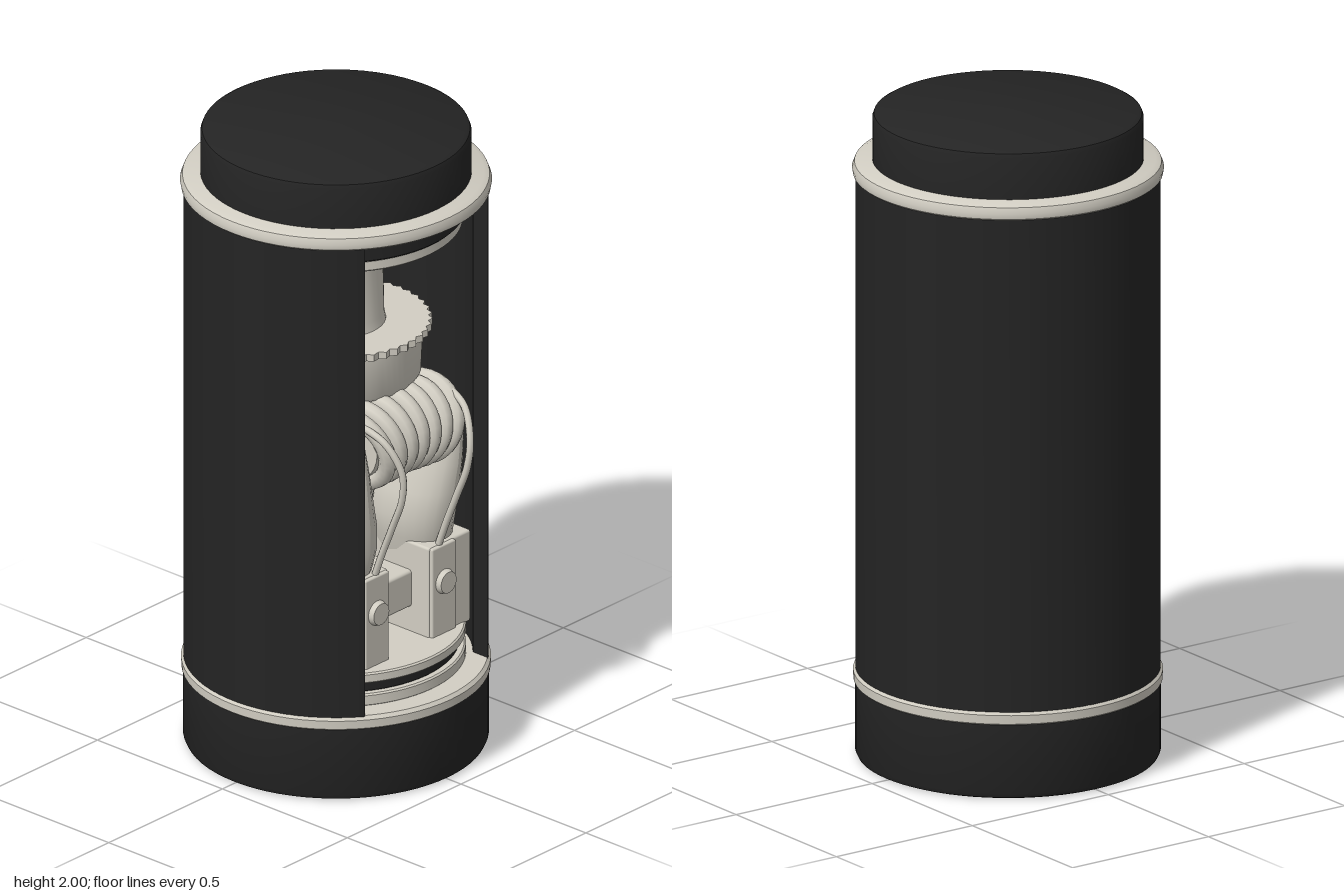
import * as THREE from 'three';
import { toCreasedNormals } from 'three/addons/utils/BufferGeometryUtils.js';
import { RoundedBoxGeometry } from 'three/addons/geometries/RoundedBoxGeometry.js';

export function createModel() {
  const black = new THREE.MeshStandardMaterial({ color: 0x242424 });
  black.name = 'black casing';
  const ivory = new THREE.MeshStandardMaterial({ color: 0xd2cec3 });
  ivory.name = 'ivory';
  const model = new THREE.Group();
  model.name = 'chamberCylinder';

  function add(name, geometry, material, x = 0, y = 0, z = 0, parent = model) {
    const mesh = new THREE.Mesh(geometry, material);
    mesh.name = name;
    mesh.position.set(x, y, z);
    parent.add(mesh);
    return mesh;
  }
  // Turned part from [radius, height] pairs, listed bottom to top
  function turned(name, profile, material, segments = 72) {
    const points = profile.map(([r, y]) => new THREE.Vector2(r, y));
    return add(name, toCreasedNormals(new THREE.LatheGeometry(points, segments), 0.6), material);
  }
  const disc = (name, r, y0, y1, material) =>
    turned(name, [[0, y0], [r - 0.005, y0], [r, y0 + 0.005], [r, y1 - 0.005], [r - 0.005, y1], [0, y1]], material);

  // End caps, the lower one with a small socket underneath
  turned('baseCap', [[0, 0.08], [0.05, 0.08], [0.05, 0], [0.435, 0], [0.447, 0.005], [0.453, 0.018],
    [0.453, 0.235], [0, 0.235]], black);
  turned('topCap', [[0, 1.83], [0.402, 1.83], [0.402, 1.98], [0.397, 1.993], [0.385, 2], [0, 2]], black);

  // Trim rings
  turned('lowerTrimRing', [[0, 0.228], [0.447, 0.228], [0.458, 0.237], [0.459, 0.264], [0.45, 0.275], [0, 0.275]], ivory);
  turned('upperTrimRing', [[0, 1.8], [0.447, 1.8], [0.459, 1.809], [0.462, 1.826], [0.455, 1.844],
    [0.438, 1.852], [0, 1.852]], ivory);

  // Tubular shell with a tall window cut in the front
  const outer = 0.452, inner = 0.405, halfWindow = 0.27;
  const a = Math.asin(halfWindow / outer), b = Math.asin(halfWindow / inner);
  const section = new THREE.Shape();
  section.absarc(0, 0, outer, -Math.PI / 2 + a, 1.5 * Math.PI - a, false);
  section.absarc(0, 0, inner, 1.5 * Math.PI - b, -Math.PI / 2 + b, true);
  const shell = new THREE.ExtrudeGeometry(section, { depth: 1.536, bevelEnabled: false, curveSegments: 80 });
  shell.rotateX(-Math.PI / 2);
  add('shell', toCreasedNormals(shell, 0.6), black, 0, 0.27, 0);

  // Stacked discs closing the chamber
  disc('floorDisc', 0.385, 0.272, 0.312, ivory);
  disc('floorGap', 0.365, 0.31, 0.348, black);
  disc('floorPlate', 0.385, 0.346, 0.38, ivory);
  disc('ceilingDisc', 0.385, 1.728, 1.805, black);
  disc('ceilingPlate', 0.375, 1.692, 1.73, ivory);

  // Neck, collar and toothed rim
  turned('neck', [[0.15, 1.36], [0.143, 1.4], [0.138, 1.65], [0.145, 1.7]], ivory, 40);
  turned('collar', [[0, 1.2], [0.245, 1.2], [0.253, 1.212], [0.258, 1.35], [0, 1.35]], ivory);
  const rim = new THREE.Shape();
  const teeth = 44;
  for (let i = 0; i < teeth * 2; i++) {
    const t = (i / (teeth * 2)) * Math.PI * 2, r = i % 2 ? 0.274 : 0.286;
    rim[i ? 'lineTo' : 'moveTo'](Math.cos(t) * r, Math.sin(t) * r);
  }
  const rimGeometry = new THREE.ExtrudeGeometry(rim, { depth: 0.022, bevelEnabled: false });
  rimGeometry.rotateX(-Math.PI / 2);
  add('toothedRim', rimGeometry, ivory, 0, 1.35, 0);

  // Central column
  turned('column', [[0.13, 0.37], [0.09, 0.47], [0.095, 0.6], [0.11, 0.78], [0.13, 0.93], [0.16, 1.08], [0.19, 1.21]], ivory, 40);
  add('columnStud', new THREE.BoxGeometry(0.035, 0.02, 0.03), ivory, -0.05, 0.81, 0.1);
  add('crossBlock', new RoundedBoxGeometry(0.22, 0.12, 0.24, 2, 0.01), ivory, 0, 0.52, 0.1);

  // Fanned coil wound on a horizontal bar
  const coil = new THREE.Group();
  coil.name = 'coil';
  model.add(coil);
  const bar = add('coilBar', new THREE.CylinderGeometry(0.11, 0.11, 0.32, 28), ivory, 0, 1.075, 0.2, coil);
  bar.rotation.z = Math.PI / 2;
  for (let i = -3; i <= 3; i++) {
    const ring = new THREE.TorusGeometry(0.117, 0.027, 10, 32);
    ring.rotateY(Math.PI / 2);
    ring.rotateY(0.12);
    ring.rotateZ(-i * 0.085);
    add('coilTurn', ring, ivory, i * 0.05, 1.075 - Math.abs(i) * 0.004, 0.212, coil);
  }

  // Curved cheek: [height, inner x, outer x, half depth] sections, rounded top
  const cheekSections = [[0.62, 0.09, 0.28, 0.13], [0.68, 0.075, 0.28, 0.15], [0.75, 0.062, 0.285, 0.165],
    [0.83, 0.075, 0.29, 0.175], [0.92, 0.105, 0.29, 0.18], [1.01, 0.128, 0.288, 0.18],
    [1.09, 0.14, 0.275, 0.165], [1.145, 0.155, 0.25, 0.13], [1.175, 0.175, 0.225, 0.06]];
  function cheekGeometry(side) {
    const rows = cheekSections.length - 1;
    const geometry = new THREE.CylinderGeometry(1, 1, rows, 28, rows);
    const p = geometry.attributes.position;
    for (let i = 0; i < p.count; i++) {
      const [y, x0, x1, depth] = cheekSections[Math.round(p.getY(i) + rows / 2)];
      p.setXYZ(i, side * (x0 + x1) / 2 + p.getX(i) * (x1 - x0) / 2, y, 0.13 + p.getZ(i) * depth);
    }
    geometry.computeVertexNormals();
    return geometry;
  }

  // Mirrored cheeks, wires and clamp blocks
  for (const side of [-1, 1]) {
    const label = side > 0 ? 'left' : 'right';
    add(label + 'Cheek', cheekGeometry(side), ivory);
    const path = new THREE.CatmullRomCurve3([[0.19, 1.17, 0.27], [0.175, 1.13, 0.355], [0.15, 1.04, 0.4],
      [0.142, 0.95, 0.394], [0.14, 0.85, 0.355], [0.14, 0.74, 0.31], [0.14, 0.63, 0.27]]
      .map(([x, y, z]) => new THREE.Vector3(x * side, y, z)));
    add(label + 'Wire', new THREE.TubeGeometry(path, 40, 0.011, 8), ivory);
    add(label + 'ClampBlock', new RoundedBoxGeometry(0.185, 0.3, 0.34, 2, 0.008), ivory, side * 0.1825, 0.522, 0.12);
    add(label + 'ClampFace', new RoundedBoxGeometry(0.105, 0.295, 0.03, 2, 0.006), ivory, side * 0.147, 0.522, 0.285);
    const button = new THREE.CylinderGeometry(0.034, 0.04, 0.02, 28);
    button.rotateX(Math.PI / 2);
    add(label + 'Button', button, ivory, side * 0.148, 0.55, 0.307);
  }
  return model;
}
